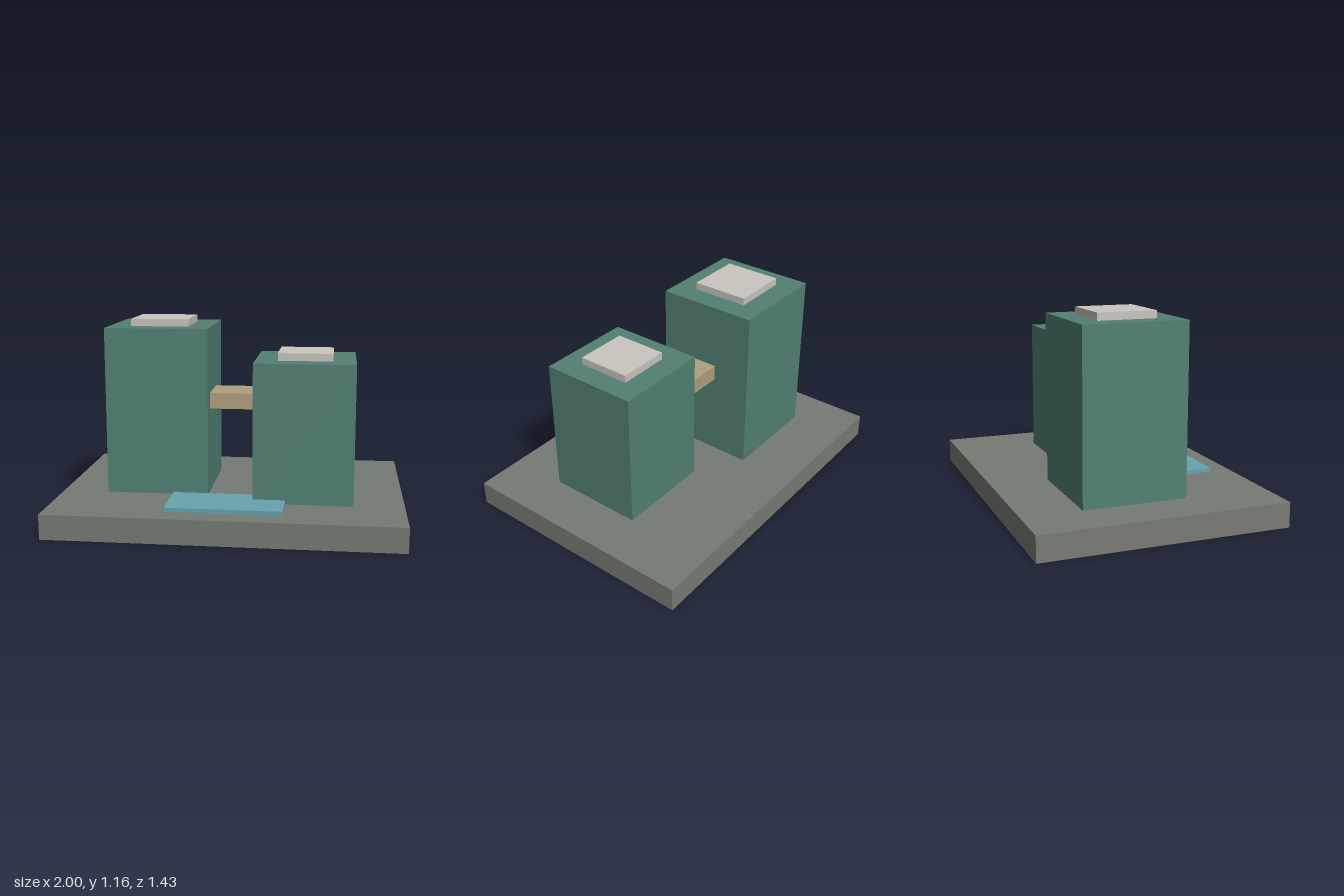
import * as THREE from 'three';

export function createModel() {
  const model = new THREE.Group();
  model.name = 'twinTowers';

  const paint = (name, color) => {
    const m = new THREE.MeshStandardMaterial({ color });
    m.name = name;
    return m;
  };
  const stone = paint('grey stone', 0x767a74);
  const green = paint('tower green', 0x528073);
  const pale = paint('pale roof', 0xc9c5bf);
  const tan = paint('tan bridge', 0xb09f80);
  const blue = paint('water blue', 0x67a3b0);

  // Box given by its extents along each axis
  const block = (name, material, [x0, x1], [y0, y1], [z0, z1], parent = model) => {
    const mesh = new THREE.Mesh(new THREE.BoxGeometry(x1 - x0, y1 - y0, z1 - z0), material);
    mesh.position.set((x0 + x1) / 2, (y0 + y1) / 2, (z0 + z1) / 2);
    mesh.name = name;
    parent.add(mesh);
  };

  const ground = 0.143;
  block('base', stone, [-1, 1], [0, ground], [-0.714, 0.714]);

  // Square tower with a flat roof unit
  const tower = (name, x, z, width, top, roofWidth) => {
    const group = new THREE.Group();
    group.name = name;
    const span = (c, w) => [c - w / 2, c + w / 2];
    block('towerBody', green, span(x, width), [ground, top], span(z, width), group);
    block('roofUnit', pale, span(x, roofWidth), [top, top + 0.043], span(z, roofWidth), group);
    model.add(group);
  };
  tower('rightTower', -0.432, -0.075, 0.6, 1.117, 0.34);
  tower('leftTower', 0.427, 0.084, 0.571, 0.945, 0.312);

  // Bridge between the towers and the pool in front
  block('skyBridge', tan, [-0.133, 0.142], [0.643, 0.735], [-0.145, 0.14]);
  block('pool', blue, [-0.33, 0.328], [ground, 0.167], [0.272, 0.585]);

  return model;
}
